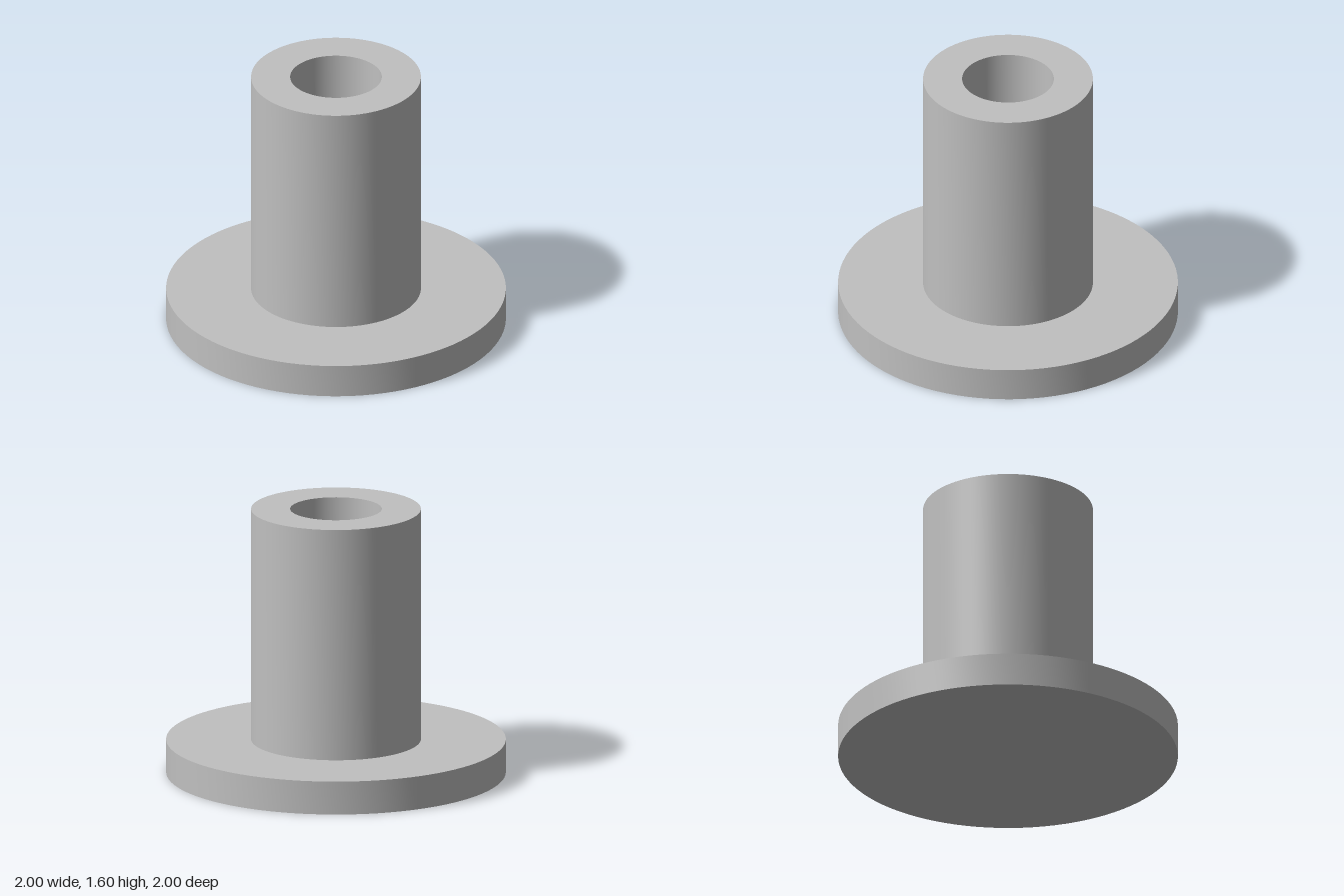
import * as THREE from 'three';
import { toCreasedNormals } from 'three/addons/utils/BufferGeometryUtils.js';

const SEGMENTS = 96;
const FLANGE_RADIUS = 1, FLANGE_TOP = 0.2;
const BARREL_RADIUS = 0.5, BARREL_TOP = 1.6;
const BORE_RADIUS = 0.27, BORE_FLOOR = 0.2;

// Turned part: smooth around the axis, sharp at the profile corners
function turned(name, profile, material) {
  const points = profile.map(([r, y]) => new THREE.Vector2(r, y));
  const geometry = toCreasedNormals(new THREE.LatheGeometry(points, SEGMENTS), Math.PI / 6);
  const mesh = new THREE.Mesh(geometry, material);
  mesh.name = name;
  return mesh;
}

export function createModel() {
  const group = new THREE.Group();
  group.name = 'flangedBushing';
  const grey = new THREE.MeshStandardMaterial({ color: 0xc0c0c0 });
  grey.name = 'grey';

  // Round base disc, closed underneath
  group.add(turned('flange', [
    [0, 0], [FLANGE_RADIUS, 0], [FLANGE_RADIUS, FLANGE_TOP], [BARREL_RADIUS, FLANGE_TOP],
  ], grey));

  // Upright barrel with its rim, blind bore and bore floor
  group.add(turned('barrel', [
    [BARREL_RADIUS, FLANGE_TOP], [BARREL_RADIUS, BARREL_TOP],
    [BORE_RADIUS, BARREL_TOP], [BORE_RADIUS, BORE_FLOOR], [0, BORE_FLOOR],
  ], grey));

  return group;
}
